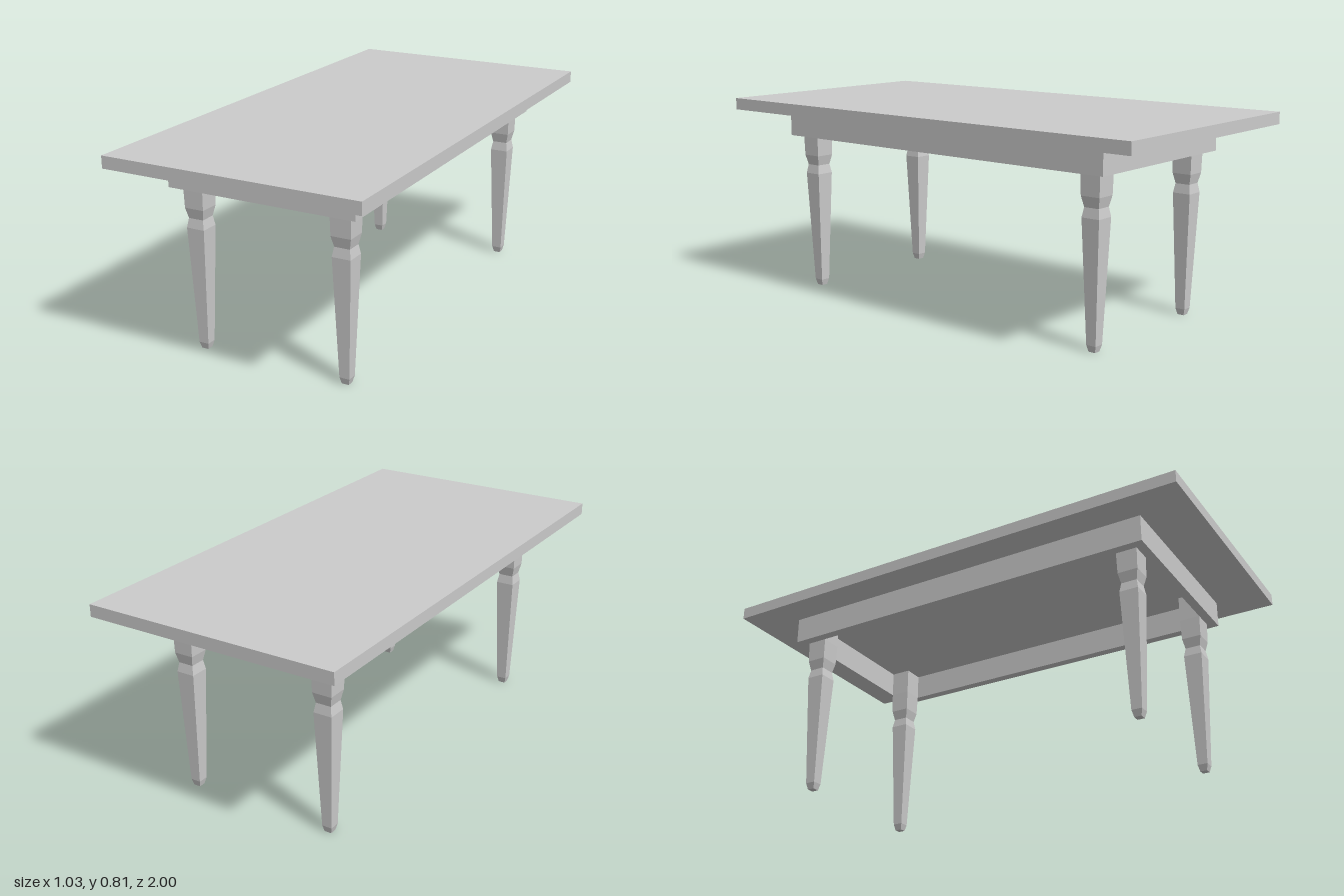
import * as THREE from 'three';

const material = new THREE.MeshStandardMaterial({ color: 0xcccccc, flatShading: true });

function box(name, w, h, d, x, y, z) {
  const mesh = new THREE.Mesh(new THREE.BoxGeometry(w, h, d), material);
  mesh.name = name;
  mesh.position.set(x, y, z);
  return mesh;
}

// Square leg turned from a profile of [half width, height]
function legGeometry() {
  const profile = [[0, 0], [0.014, 0], [0.0205, 0.026], [0.0375, 0.495], [0.031, 0.532],
    [0.04, 0.573], [0.042, 0.658], [0.042, 0.765]];
  const points = profile.map(([half, y]) => new THREE.Vector2(half * Math.SQRT2, y));
  return new THREE.LatheGeometry(points, 4, Math.PI / 4).toNonIndexed();
}

export function createModel() {
  const table = new THREE.Group();
  table.name = 'table';

  // Top slab
  const under = 0.765, topHeight = 0.048;
  table.add(box('tabletop', 1.032, topHeight, 2, 0, under + topHeight / 2, 0));

  // Open apron frame under the top
  const halfX = 0.385, halfZ = 0.802, thick = 0.037, apronHeight = 0.107;
  const apronY = under - apronHeight / 2;
  for (const s of [1, -1]) {
    table.add(box(s > 0 ? 'leftApron' : 'rightApron', thick, apronHeight, 2 * halfZ,
      s * (halfX - thick / 2), apronY, 0));
    table.add(box(s > 0 ? 'frontApron' : 'backApron', 2 * (halfX - thick), apronHeight, thick,
      0, apronY, s * (halfZ - thick / 2)));
  }

  // Four legs set into the apron corners
  const geometry = legGeometry();
  geometry.computeVertexNormals();
  for (const sx of [1, -1]) {
    for (const sz of [1, -1]) {
      const leg = new THREE.Mesh(geometry, material);
      leg.name = (sz > 0 ? 'front' : 'back') + (sx > 0 ? 'Left' : 'Right') + 'Leg';
      leg.position.set(sx * 0.306, 0, sz * 0.723);
      table.add(leg);
    }
  }
  return table;
}
